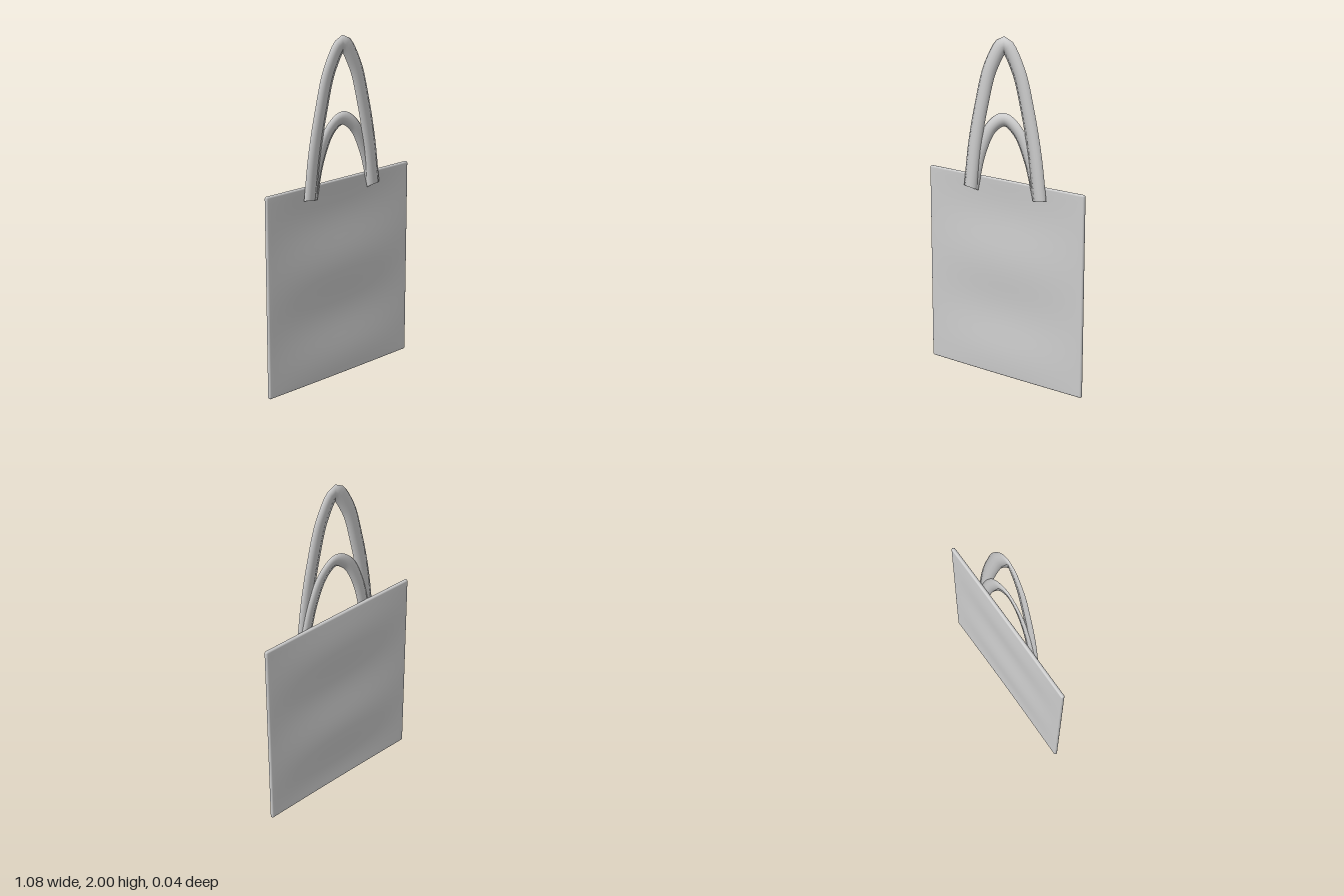
import * as THREE from 'three';
import { mergeVertices } from 'three/addons/utils/BufferGeometryUtils.js';

const cloth = new THREE.MeshStandardMaterial({ color: 0xcccccc, side: THREE.DoubleSide });
cloth.name = 'light grey cloth';

const WIDTH = 1.075, HEIGHT = 1.19, R = 0.011;

// Thin panel with rounded rims, bent into soft vertical ripples
function panelGeometry() {
  const n = 46, rim = 3;
  let geo = new THREE.BoxGeometry(1, 1, 1, n, n, rim * 2);
  geo.deleteAttribute('uv');
  geo.deleteAttribute('normal');
  const p = geo.attributes.position, v = new THREE.Vector3();
  const split = (t, cells, half) => {
    const flat = cells / 2 - rim, a = Math.abs(t) * cells, s = Math.sign(t);
    const core = flat > 0 ? Math.min(a / flat, 1) * (half - R) * s : 0;
    return [core, Math.max(0, (a - flat) / rim) * s];
  };
  for (let i = 0; i < p.count; i++) {
    const [cx, ox] = split(p.getX(i), n, WIDTH / 2);
    const [cy, oy] = split(p.getY(i), n, HEIGHT / 2);
    const [, oz] = split(p.getZ(i), rim * 2, R);
    v.set(ox, oy, oz).setLength(R);
    const x = cx + v.x, y = cy + v.y + HEIGHT / 2;
    const ripple = 0.007 * Math.cos((y - 0.7) / 0.6 * Math.PI * 2) * Math.cos(x / WIDTH * Math.PI);
    p.setXYZ(i, x, y, v.z - 0.002 + ripple);
  }
  geo = mergeVertices(geo, 1e-5);
  geo.computeVertexNormals();
  return geo;
}

// Flattened tube that keeps its soft rounded shading
function handle(name, points, radius, z) {
  const path = new THREE.CatmullRomCurve3(points.map(([x, y]) => new THREE.Vector3(x, y, 0)));
  const geo = new THREE.TubeGeometry(path, 64, radius, 16, false);
  const p = geo.attributes.position;
  for (let i = 0; i < p.count; i++) p.setZ(i, p.getZ(i) * 0.004 / radius + z);
  const mesh = new THREE.Mesh(geo, cloth);
  mesh.name = name;
  return mesh;
}

export function createModel() {
  const bag = new THREE.Group();
  bag.name = 'toteBag';

  const panel = new THREE.Mesh(panelGeometry(), cloth);
  panel.name = 'bagPanel';
  bag.add(panel);

  bag.add(handle('tallHandle', [
    [-0.232, 1.11], [-0.2, 1.36], [-0.15, 1.6], [-0.082, 1.83], [0.01, 1.955],
    [0.1, 1.83], [0.168, 1.6], [0.217, 1.36], [0.25, 1.11],
  ], 0.046, 0.016));
  bag.add(handle('shortHandle', [
    [-0.215, 1.11], [-0.16, 1.33], [-0.08, 1.485], [0.01, 1.537],
    [0.1, 1.48], [0.178, 1.33], [0.24, 1.11],
  ], 0.038, 0.013));
  return bag;
}
